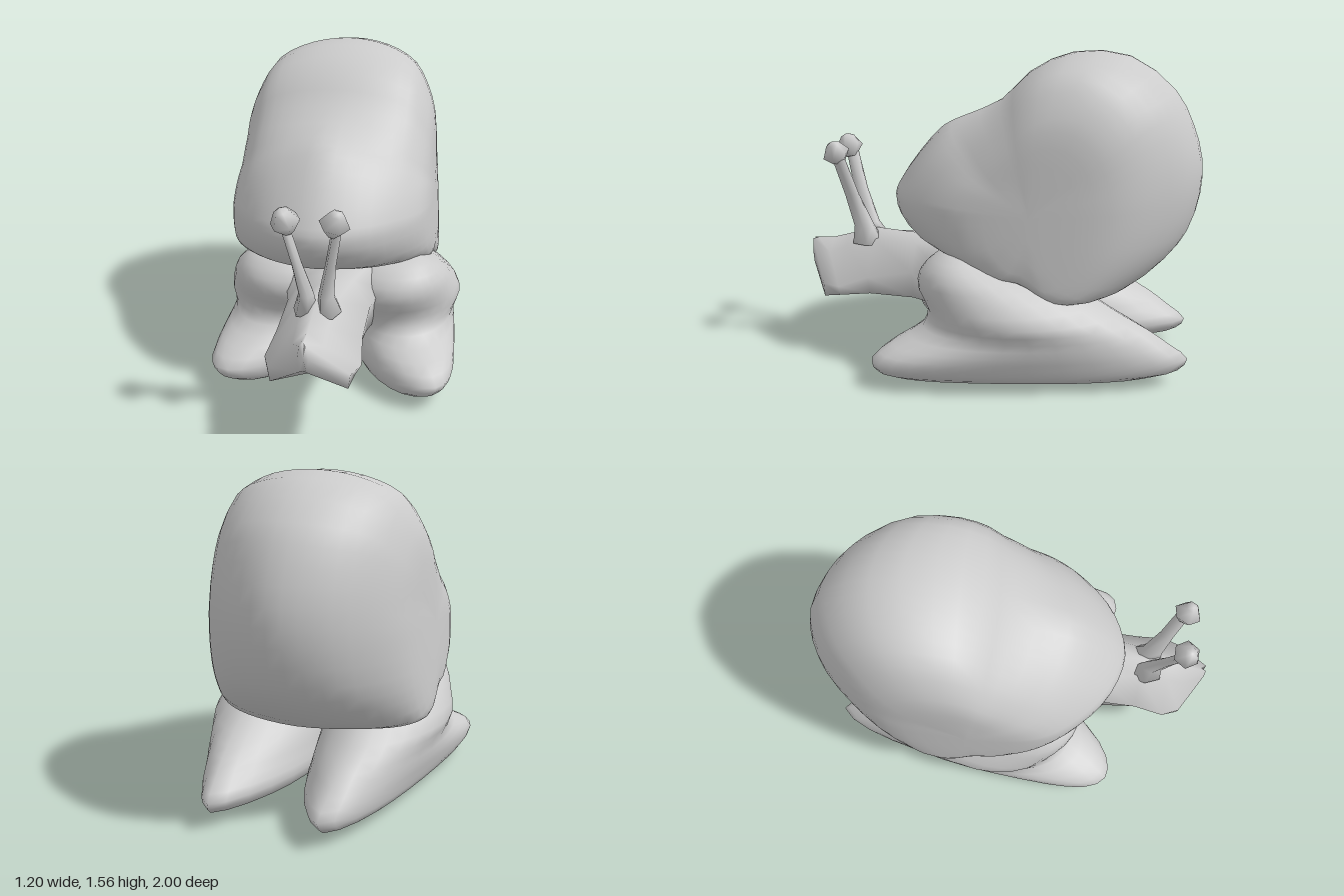
import * as THREE from 'three';

const material = new THREE.MeshStandardMaterial({ color: 0xcccccc, side: THREE.DoubleSide });

// Smoothly interpolates extra rings between the key rings
function refine(rings, steps) {
  const n = (rings.length - 1) * steps;
  const curves = rings[0].map((_, j) => new THREE.CatmullRomCurve3(rings.map(r => r[j])));
  return Array.from({ length: n + 1 }, (_, i) => curves.map(c => c.getPoint(i / n)));
}

// Skins closed rings, closes both ends and turns the faces outward
function loft(rings) {
  const n = rings[0].length, pts = rings.flat(), index = [];
  for (let i = 0; i < rings.length - 1; i++) {
    for (let j = 0; j < n; j++) {
      const a = i * n + j, b = i * n + (j + 1) % n;
      index.push(a, b, a + n, b, b + n, a + n);
    }
  }
  [0, rings.length - 1].forEach((r, end) => {
    const mid = new THREE.Vector3();
    rings[r].forEach(p => mid.addScaledVector(p, 1 / n));
    const c = pts.push(mid) - 1;
    for (let j = 0; j < n; j++) {
      const a = r * n + j, b = r * n + (j + 1) % n;
      if (end) index.push(a, b, c); else index.push(b, a, c);
    }
  });
  let volume = 0;
  for (let i = 0; i < index.length; i += 3) {
    const [a, b, c] = [0, 1, 2].map(k => pts[index[i + k]]);
    volume += a.dot(new THREE.Vector3().crossVectors(b, c));
  }
  if (volume < 0) index.reverse();
  const g = new THREE.BufferGeometry().setFromPoints(pts);
  g.setIndex(index);
  g.computeVertexNormals();
  return g;
}

function part(name, geometry) {
  const mesh = new THREE.Mesh(geometry, material);
  mesh.name = name;
  return mesh;
}

// Shell: side outline swept across x and shrunk towards both sides
function shell() {
  const outline = new THREE.CatmullRomCurve3([
    [0.55, 0.83], [0.53, 0.75], [0.45, 0.66], [0.33, 0.625], [0.1, 0.63], [0, 0.6],
    [-0.2, 0.5], [-0.4, 0.43], [-0.55, 0.42], [-0.7, 0.45], [-0.85, 0.57], [-0.94, 0.7],
    [-0.99, 0.88], [-0.99, 1.05], [-0.94, 1.22], [-0.85, 1.38], [-0.63, 1.54], [-0.35, 1.555],
    [-0.14, 1.46], [0, 1.32], [0.2, 1.23], [0.3, 1.18], [0.42, 1.05], [0.53, 0.89],
  ].map(([z, y]) => new THREE.Vector3(0, y, z)), true).getPoints(48).slice(0, 48);
  // half width, depth scale, scale above the middle, scale below it
  const half = [
    [0, 1, 1, 1], [0.13, 0.96, 0.985, 1], [0.25, 0.87, 0.94, 1], [0.355, 0.73, 0.86, 1],
    [0.425, 0.6, 0.71, 0.98], [0.468, 0.46, 0.55, 0.94], [0.486, 0.28, 0.33, 0.8], [0.491, 0.06, 0.08, 0.3],
  ];
  const sections = [
    ...half.slice(1).reverse().map(([u, ...s]) => [-u, ...s]),
    ...half,
  ];
  const bump = (z, at, width) => Math.exp(-(((z - at) / width) ** 2));
  const rings = sections.map(([u, sz, top, bottom]) => outline.map(p => {
    // towards the sides the saddle and the step under the lip fade into straight slopes
    const drop = Math.abs(u) * (p.y > 0.9 ? 0.2 * bump(p.z, 0.27, 0.15) : 0.22 * bump(p.z, 0.1, 0.2));
    const y = 0.85 + (p.y - drop - 0.85) * (p.y > 0.85 ? top : bottom);
    const flare = 1 + 0.15 * Math.max(0, 1 - y);
    return new THREE.Vector3(-0.055 + u * flare, y, -0.2 + (p.z + 0.2) * sz);
  }));
  return part('shell', loft(refine(rings, 2)));
}

// Foot lobe: bent ovals, widest ahead of the middle, stacked from sole to shoulder
function footLobe(side) {
  // y, back z, front z, centre x at back / middle / front, half width
  const levels = [
    [0, -0.35, 0.3, 0.28, 0.28, 0.32, 0.09], [0.02, -0.65, 0.43, 0.28, 0.28, 0.38, 0.18],
    [0.07, -0.91, 0.53, 0.27, 0.285, 0.46, 0.25], [0.13, -0.955, 0.55, 0.26, 0.285, 0.48, 0.275],
    [0.2, -0.87, 0.46, 0.27, 0.29, 0.42, 0.285], [0.27, -0.77, 0.33, 0.28, 0.285, 0.33, 0.285],
    [0.35, -0.63, 0.31, 0.29, 0.3, 0.28, 0.3], [0.45, -0.46, 0.36, 0.29, 0.285, 0.27, 0.28],
    [0.53, -0.26, 0.35, 0.27, 0.265, 0.27, 0.262], [0.6, -0.03, 0.28, 0.27, 0.27, 0.27, 0.185],
    [0.635, 0.04, 0.2, 0.27, 0.27, 0.27, 0.1],
  ];
  const rings = levels.map(([y, z0, z1, xb, xm, xf, hw]) => Array.from({ length: 28 }, (_, j) => {
    const a = j / 28 * Math.PI * 2, s = (1 - Math.cos(a)) / 2;
    const cx = 2 * (s - 0.5) * (s - 1) * xb - 4 * s * (s - 1) * xm + 2 * s * (s - 0.5) * xf;
    return new THREE.Vector3(side * (cx + hw * Math.sin(a)), y, z0 + (z1 - z0) * s ** 0.75);
  }));
  return part(side > 0 ? 'leftFootLobe' : 'rightFootLobe', loft(refine(rings, 2)));
}

// Neck and wedge-shaped head: roofed sections mirrored about x = 0
function head() {
  // z, top y, ridge x/y, side x/y, lower x/y, bottom y
  const sections = [
    [-0.25, 0.5, 0.15, 0.49, 0.2, 0.44, 0.15, 0.38, 0.34],
    [0.1, 0.62, 0.2, 0.625, 0.27, 0.5, 0.2, 0.33, 0.2],
    [0.28, 0.62, 0.17, 0.62, 0.24, 0.5, 0.19, 0.3, 0.25],
    [0.42, 0.62, 0.12, 0.6, 0.2, 0.47, 0.18, 0.33, 0.33],
    [0.65, 0.64, 0.08, 0.6, 0.2, 0.43, 0.17, 0.335, 0.34],
    [0.8, 0.6, 0.07, 0.55, 0.22, 0.38, 0.19, 0.325, 0.34],
    [0.89, 0.575, 0.07, 0.51, 0.185, 0.38, 0.175, 0.31, 0.37],
    [1, 0.57, 0.015, 0.565, 0.025, 0.5, 0.015, 0.44, 0.43],
  ];
  const rings = sections.map(([z, t, rx, ry, sx, sy, lx, ly, b]) =>
    [[0, t], [rx, ry], [sx, sy], [lx, ly], [0, b], [-lx, ly], [-sx, sy], [-rx, ry]]
      .map(([x, y]) => new THREE.Vector3(x, y, x === 0 && z === 1 ? 0.975 : z)));
  return part('head', loft(rings));
}

// Six-sided rings from rows of x, y, z, radius across x, radius along z
function rounds(rows, side) {
  return rows.map(([x, y, z, rx, rz]) => Array.from({ length: 6 }, (_, j) => {
    const a = j / 6 * Math.PI * 2;
    return new THREE.Vector3(side * (x + rx * Math.cos(a)), y, z + rz * Math.sin(a));
  }));
}

// Eye stalk flaring into the head, with a faceted bulb on top
function eyeStalk(side) {
  const group = new THREE.Group();
  group.name = side > 0 ? 'leftEyeStalk' : 'rightEyeStalk';
  const stalk = part('stalk', loft(rounds([
    [0.055, 0.57, 0.68, 0.055, 0.09], [0.045, 0.66, 0.705, 0.036, 0.055],
    [0.075, 0.83, 0.755, 0.024, 0.038], [0.112, 1.02, 0.805, 0.022, 0.034],
  ], side)));
  const eye = part('eye', loft(rounds([
    [0, -0.06, 0, 0.022, 0.025], [0, -0.005, 0, 0.068, 0.07], [0, 0.05, 0, 0.034, 0.034], [0, 0.06, 0, 0.012, 0.012],
  ], side)));
  eye.position.set(side * 0.106, 1.05, 0.82);
  eye.rotation.set(0.25, 0, -side * 0.25);
  group.add(stalk, eye);
  return group;
}

export function createModel() {
  const model = new THREE.Group();
  model.name = 'snail';
  model.add(shell(), head());
  for (const side of [1, -1]) model.add(footLobe(side), eyeStalk(side));
  return model;
}
